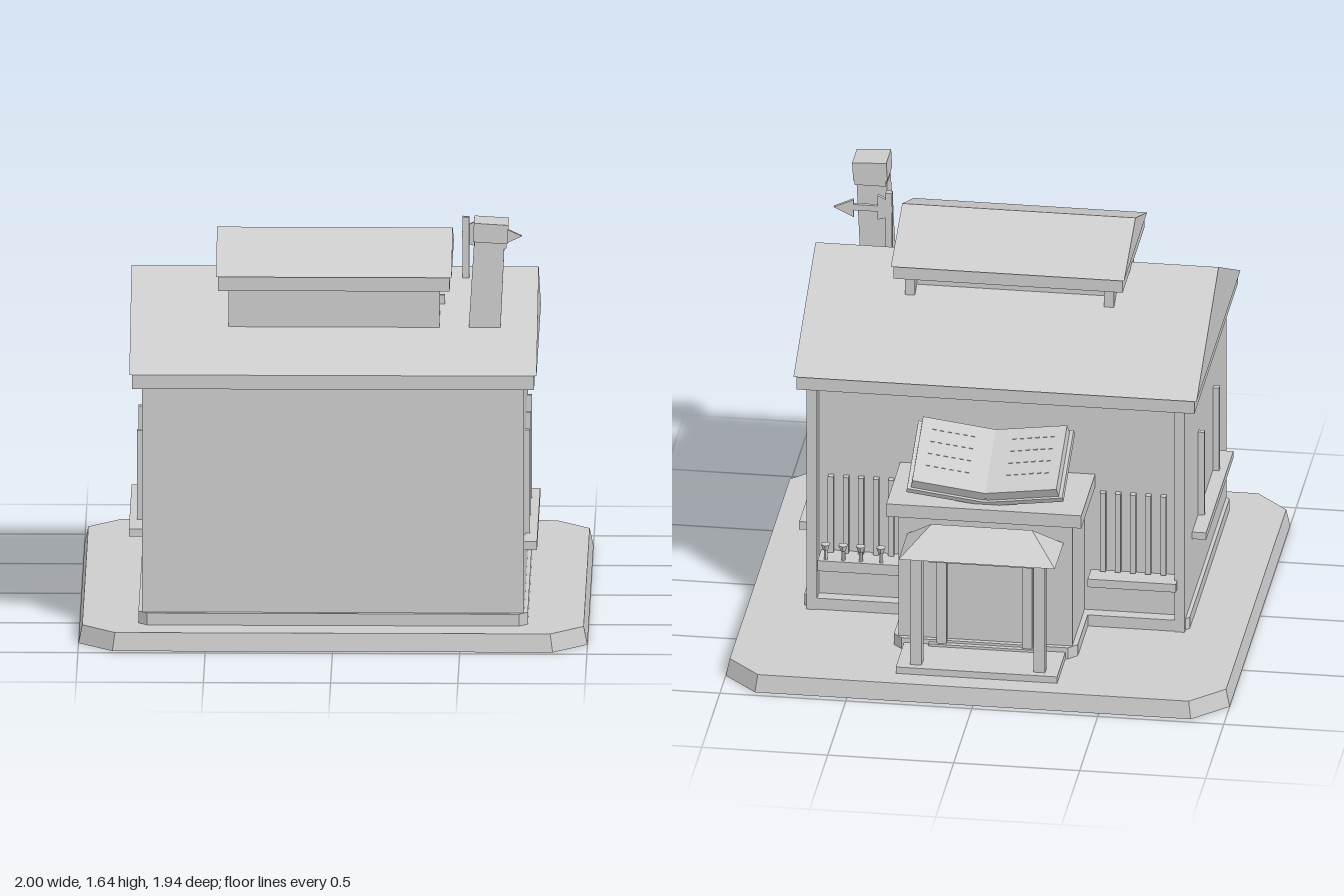
import * as THREE from 'three';

const grey = new THREE.MeshStandardMaterial({ color: 0xcccccc });
grey.name = 'stone grey';
grey.flatShading = true;
grey.side = THREE.DoubleSide;

function add(parent, name, geometry) {
  const mesh = new THREE.Mesh(geometry, grey);
  mesh.name = name;
  parent.add(mesh);
  return mesh;
}

// Box given by its limits on each axis
function box(parent, name, x0, x1, y0, y1, z0, z1) {
  const g = new THREE.BoxGeometry(x1 - x0, y1 - y0, z1 - z0);
  g.translate((x0 + x1) / 2, (y0 + y1) / 2, (z0 + z1) / 2);
  return add(parent, name, g);
}

// Flat-sided solid through stacked convex rings; the bottom may stay open
function loft(rings, bottomCap = true, topCap = true) {
  const p = [];
  const tri = (a, b, c) => p.push(...a, ...b, ...c);
  for (let k = 0; k + 1 < rings.length; k++) {
    const lo = rings[k], hi = rings[k + 1], n = lo.length;
    for (let i = 0; i < n; i++) {
      const j = (i + 1) % n;
      tri(lo[i], lo[j], hi[j]);
      tri(lo[i], hi[j], hi[i]);
    }
  }
  const first = rings[0], last = rings[rings.length - 1];
  for (let i = 1; i + 1 < first.length; i++) {
    if (bottomCap) tri(first[0], first[i + 1], first[i]);
    if (topCap) tri(last[0], last[i], last[i + 1]);
  }
  const g = new THREE.BufferGeometry();
  g.setAttribute('position', new THREE.Float32BufferAttribute(p, 3));
  g.computeVertexNormals();
  return g;
}

const rect = (x0, x1, z0, z1, y) => [[x1, y, z1], [x1, y, z0], [x0, y, z0], [x0, y, z1]];

// Rectangle with cut corners
const cutRect = (x0, x1, z0, z1, y, c) => [
  [x1, y, z1 - c], [x1, y, z0 + c], [x1 - c, y, z0], [x0 + c, y, z0],
  [x0, y, z0 + c], [x0, y, z1 - c], [x0 + c, y, z1], [x1 - c, y, z1],
];

// Gable roof with its ridge along x
function gable(parent, name, hx, z0, z1, y0, ridgeY, ridgeZ) {
  const s = new THREE.Shape([
    new THREE.Vector2(-z1, y0), new THREE.Vector2(-z0, y0), new THREE.Vector2(-ridgeZ, ridgeY),
  ]);
  const g = new THREE.ExtrudeGeometry(s, { depth: hx * 2, bevelEnabled: false });
  g.translate(0, 0, -hx);
  g.rotateY(Math.PI / 2);
  return add(parent, name, g);
}

function buildHouse(root) {
  const house = new THREE.Group();
  house.name = 'house';
  root.add(house);
  box(house, 'walls', -0.75, 0.75, 0.07, 1.03, -0.285, 0.81);
  for (const s of [-1, 1]) {
    const x = s * 0.73;
    box(house, 'cornerPier', x - 0.02, x + 0.02, 0.07, 1.03, -0.34, -0.285);
  }
  add(house, 'wallFooting', loft([
    cutRect(-0.765, 0.765, -0.335, 0.83, 0.04, 0.035), cutRect(-0.765, 0.765, -0.335, 0.83, 0.12, 0.035),
  ], false));
  box(house, 'eaveBand', -0.79, 0.79, 1.03, 1.09, -0.35, 0.85);
  gable(house, 'mainRoof', 0.8, -0.36, 0.855, 1.088, 1.387, 0.25);

  // Side windows: bars above a sill
  for (const z of [0.55, 0.25, -0.04]) box(house, 'leftWindowBar', 0.745, 0.77, 0.385, 0.8, z - 0.011, z + 0.011);
  box(house, 'leftSill', 0.745, 0.8, 0.35, 0.384, -0.2, 0.705);
  for (const z of [0.04, 0.45]) box(house, 'rightWindowBar', -0.775, -0.745, 0.41, 0.77, z - 0.011, z + 0.011);
  box(house, 'rightSill', -0.805, -0.745, 0.38, 0.41, -0.13, 0.625);

  // Back windows beside the porch
  for (const s of [-1, 1]) {
    for (let i = 0; i < 5; i++) {
      const x = s * (0.42 + i * 0.06);
      box(house, 'backWindowBar', x - 0.011, x + 0.011, 0.3, 0.64, -0.31, -0.28);
    }
  }
  box(house, 'backSill', -0.72, -0.37, 0.26, 0.295, -0.375, -0.28);
  box(house, 'planter', 0.37, 0.7, 0.265, 0.31, -0.39, -0.28);
  for (const x of [0.45, 0.53, 0.6, 0.67]) {
    const stem = add(house, 'plantStem', new THREE.CylinderGeometry(0.008, 0.008, 0.05, 6));
    stem.position.set(x, 0.335, -0.37);
    const bloom = add(house, 'plantBloom', new THREE.CylinderGeometry(0.02, 0.01, 0.025, 6));
    bloom.position.set(x, 0.365, -0.375);
  }
}

function buildDormer(root) {
  const dormer = new THREE.Group();
  dormer.name = 'dormer';
  root.add(dormer);
  box(dormer, 'dormerWalls', -0.415, 0.415, 1.22, 1.37, 0.09, 0.588);
  for (const x of [-0.395, 0.395]) box(dormer, 'dormerPier', x - 0.02, x + 0.02, 1.22, 1.37, 0.04, 0.09);
  box(dormer, 'dormerBand', -0.455, 0.455, 1.37, 1.43, 0, 0.61);
  gable(dormer, 'dormerRoof', 0.463, -0.015, 0.62, 1.428, 1.555, 0.3);
  box(dormer, 'roofPeg', 0.415, 0.435, 1.25, 1.32, 0.44, 0.46);
}

function buildChimneyAndVane(root) {
  const group = new THREE.Group();
  group.name = 'chimneyAndVane';
  root.add(group);
  add(group, 'chimneyStack', loft([
    rect(0.53, 0.655, 0.48, 0.588, 1.22), rect(0.55, 0.67, 0.48, 0.585, 1.55),
  ]));
  add(group, 'chimneyNeck', loft([
    rect(0.553, 0.678, 0.474, 0.59, 1.54), rect(0.553, 0.678, 0.474, 0.59, 1.57),
  ]));
  const cap = box(group, 'chimneyCap', -0.068, 0.068, -0.038, 0.038, -0.066, 0.066);
  cap.position.set(0.616, 1.602, 0.535);
  cap.rotation.z = -0.06;

  // Weather vane on a square pole
  box(group, 'vanePole', 0.502, 0.528, 1.28, 1.6, 0.29, 0.315);
  box(group, 'vaneShaft', 0.5, 0.67, 1.515, 1.54, 0.295, 0.31);
  const head = (pts) => {
    const g = new THREE.ExtrudeGeometry(new THREE.Shape(pts.map(([x, y]) => new THREE.Vector2(x, y))),
      { depth: 0.016, bevelEnabled: false });
    g.translate(0, 0, 0.295);
    return g;
  };
  add(group, 'vaneHead', head([[0.655, 1.485], [0.735, 1.523], [0.655, 1.56]]));
  add(group, 'vaneTail', head([[0.528, 1.49], [0.56, 1.48], [0.56, 1.585], [0.528, 1.57]]));
}

function buildPorch(root) {
  const porch = new THREE.Group();
  porch.name = 'porch';
  root.add(porch);
  box(porch, 'porchWalls', -0.345, 0.345, 0.07, 0.66, -0.625, -0.25);
  add(porch, 'porchFooting', loft([
    cutRect(-0.365, 0.365, -0.645, -0.23, 0.04, 0.035), cutRect(-0.365, 0.365, -0.645, -0.23, 0.12, 0.035),
  ], false));
  box(porch, 'porchTop', -0.387, 0.387, 0.655, 0.71, -0.67, -0.28);

  // Door frame
  for (const s of [-1, 1]) box(porch, 'doorJamb', s * 0.17 - 0.02, s * 0.17 + 0.02, 0.03, 0.47, -0.655, -0.615);
  box(porch, 'doorLintel', -0.22, 0.22, 0.465, 0.5, -0.665, -0.615);
  box(porch, 'doorStep', -0.22, 0.22, 0.02, 0.11, -0.665, -0.6);

  // Canopy with hipped roof
  add(porch, 'canopySlab', loft([
    rect(-0.32, 0.32, -0.872, -0.625, 0.04), rect(-0.32, 0.32, -0.872, -0.625, 0.1),
  ], false));
  for (const s of [-1, 1]) box(porch, 'canopyPost', s * 0.245 - 0.023, s * 0.245 + 0.023, 0.1, 0.57, -0.842, -0.795);
  add(porch, 'canopyRoof', loft([
    rect(-0.31, 0.31, -0.865, -0.625, 0.565), rect(-0.2, 0.2, -0.726, -0.724, 0.66),
  ]));
}

function buildBook(root) {
  // Sloping rest under the open book
  add(root, 'bookRest', loft([
    rect(-0.22, 0.22, -0.56, -0.285, 0.705), rect(-0.22, 0.22, -0.34, -0.285, 0.79),
  ]));
  box(root, 'bookRestBlock', -0.13, 0.13, 0.71, 0.8, -0.48, -0.285);

  const book = new THREE.Group();
  book.name = 'openBook';
  book.position.set(0, 0.785, -0.462);
  book.rotation.x = -0.43;
  root.add(book);
  for (const s of [-1, 1]) {
    const half = new THREE.Group();
    half.name = 'bookHalf';
    half.rotation.z = s * 0.18;
    book.add(half);
    const span = (a, b) => (s > 0 ? [a, b] : [-b, -a]);
    box(half, 'bookCover', ...span(0, 0.315), -0.012, 0.01, -0.175, 0.175);
    box(half, 'bookPages', ...span(0.005, 0.3), 0.01, 0.052, -0.165, 0.165);
    // Dashed rows on the page
    for (let row = 0; row < 4; row++) {
      for (let i = 0; i < 6; i++) {
        const x = 0.085 + i * 0.031, z = -0.075 + row * 0.062;
        box(half, 'pageDash', ...span(x, x + 0.016), 0.05, 0.055, z - 0.003, z + 0.003);
      }
    }
  }
  box(book, 'bookSpine', -0.02, 0.02, -0.014, 0.012, -0.175, 0.175);
}

export function createModel() {
  const model = new THREE.Group();
  model.name = 'bookHouse';
  // Hollow ground slab with cut corners
  add(model, 'groundSlab', loft([
    cutRect(-1, 1, -0.972, 0.972, 0, 0.135), cutRect(-0.985, 0.985, -0.96, 0.96, 0.072, 0.13),
  ], false));
  buildHouse(model);
  buildDormer(model);
  buildChimneyAndVane(model);
  buildPorch(model);
  buildBook(model);
  return model;
}
